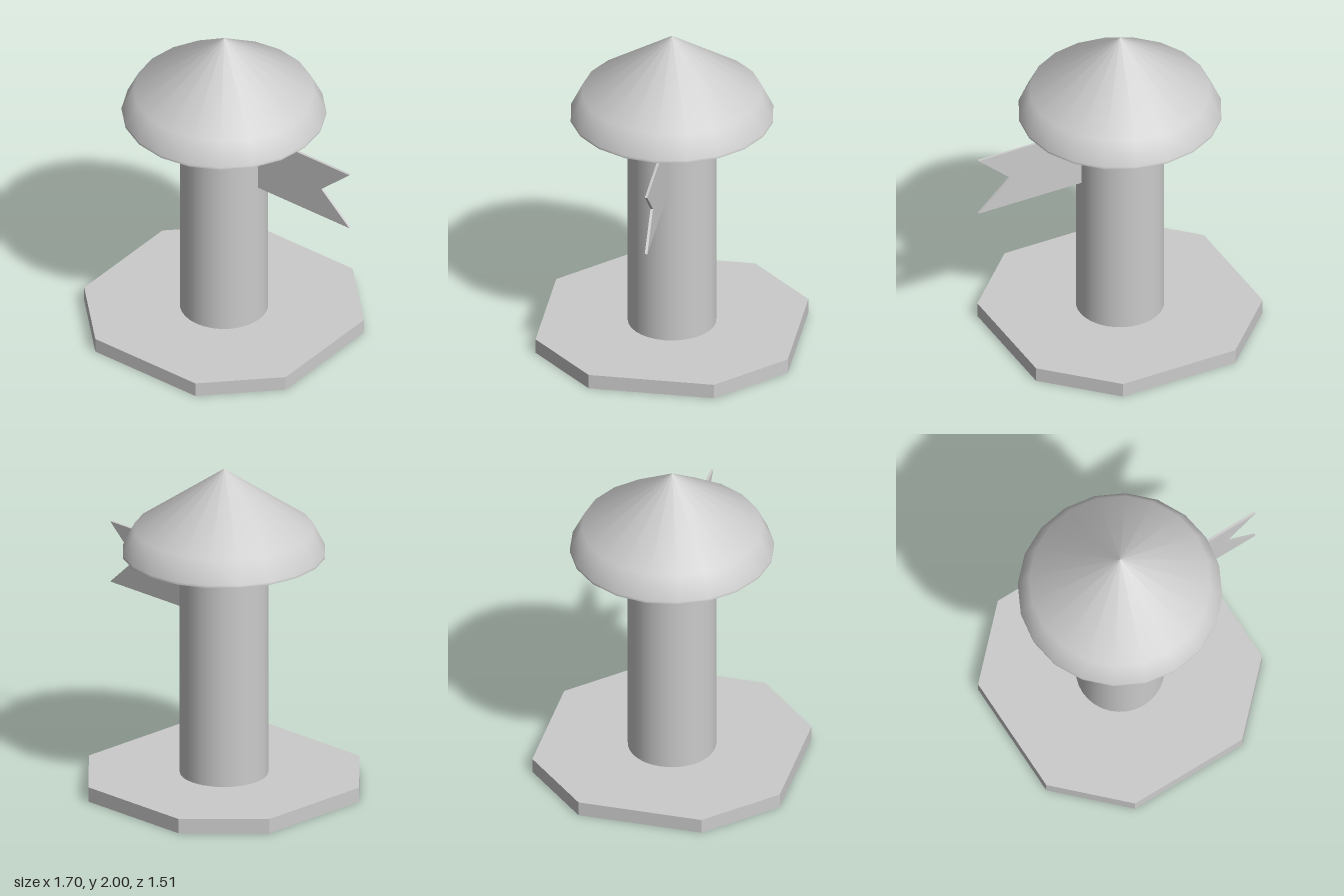
import * as THREE from 'three';

const AXIS_X = -0.1; // the tower stands off-centre because the flag sticks out

export function createModel() {
  const model = new THREE.Group();
  const grey = new THREE.MeshStandardMaterial({ color: 0xcccccc });
  const greyOpen = new THREE.MeshStandardMaterial({ color: 0xcccccc, side: THREE.DoubleSide });

  const add = (name, geometry, material, x, y, z) => {
    const mesh = new THREE.Mesh(geometry, material);
    mesh.name = name;
    mesh.position.set(x, y, z);
    model.add(mesh);
    return mesh;
  };
  const slab = (points, depth) => new THREE.ExtrudeGeometry(
    new THREE.Shape(points.map(([x, y]) => new THREE.Vector2(x, y))),
    { depth, bevelEnabled: false });

  // Base: square plate with its corners cut off
  const R = 0.755, C = 0.375;
  const octagon = [[R, -C], [R, C], [C, R], [-C, R], [-R, C], [-R, -C], [-C, -R], [C, -R]];
  add('base', slab(octagon, 0.09).rotateX(-Math.PI / 2), grey, AXIS_X, 0, 0);

  // Column: runs up inside the roof
  const bottom = 0.09, top = 1.78;
  add('column', new THREE.CylinderGeometry(0.262, 0.262, top - bottom, 32),
    grey, AXIS_X, (top + bottom) / 2, 0);

  // Roof: hollow cone with a steeper skirt and a thin upright rim
  const profile = [[0.605, 1.47], [0.605, 1.486], [0.535, 1.627], [0, 2]]
    .map(([r, y]) => new THREE.Vector2(r, y));
  add('roof', new THREE.LatheGeometry(profile, 20), greyOpen, AXIS_X, 0, 0);

  // Flag: thin swallow-tailed pennant on the left side of the column
  const thickness = 0.015;
  const pennant = [[0.155, 1.04], [0.845, 1.04], [0.635, 1.232], [0.845, 1.42], [0.155, 1.42]];
  add('flag', slab(pennant, thickness), grey, 0, 0, -thickness / 2);

  return model;
}
